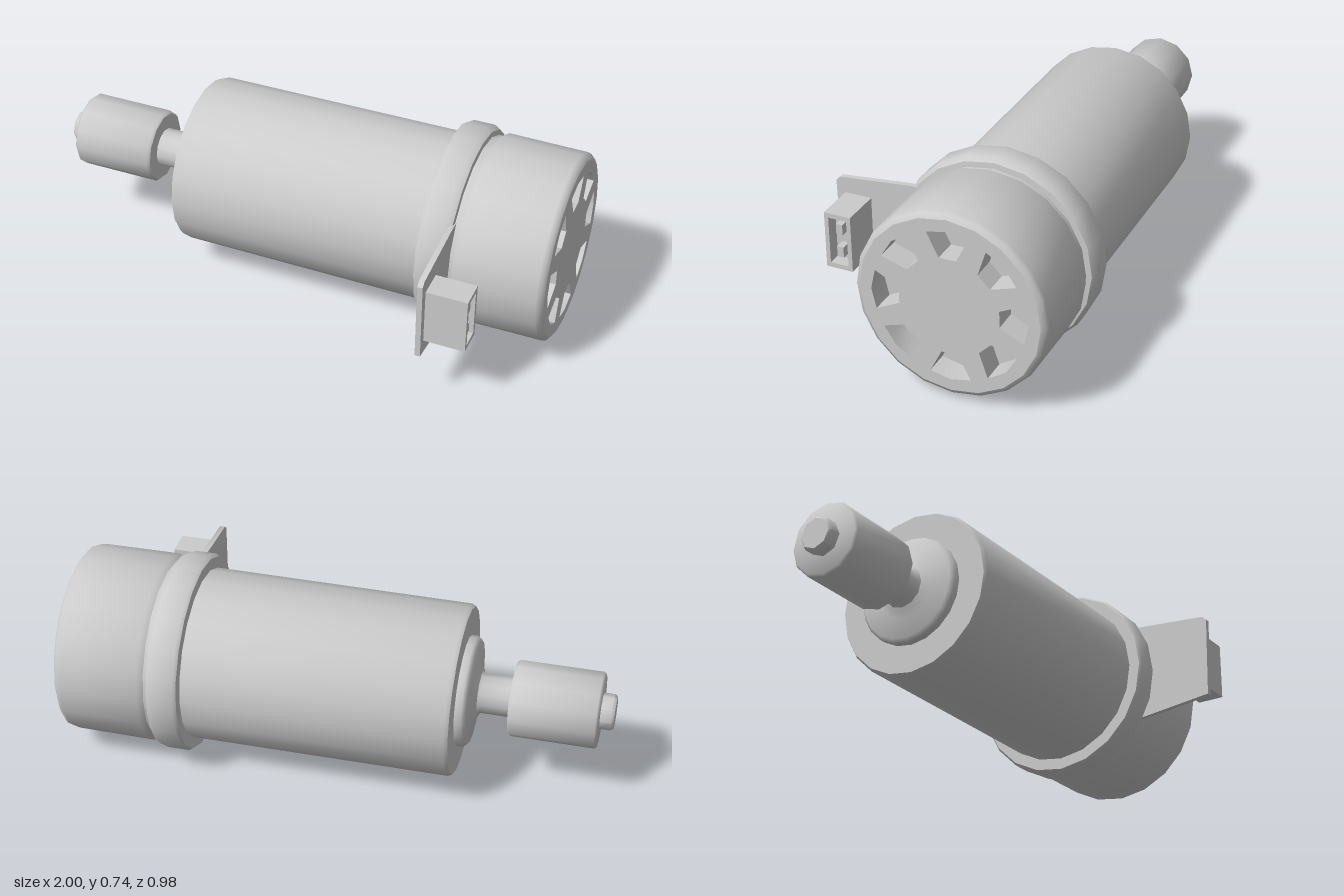
import * as THREE from 'three';
import { toCreasedNormals } from 'three/addons/utils/BufferGeometryUtils.js';

const AXIS_Y = 0.372, AXIS_Z = -0.122;
const material = new THREE.MeshStandardMaterial({ color: 0xcccccc });

function part(name, geometry, crease = 0.7) {
  const mesh = new THREE.Mesh(toCreasedNormals(geometry, crease), material);
  mesh.name = name;
  return mesh;
}

// Turned part along x; profile is [x, radius] from low x to high x
function turned(name, profile, sides = 20) {
  const points = profile.map(([x, r]) => new THREE.Vector2(r, x));
  const geometry = new THREE.LatheGeometry(points, sides).rotateZ(-Math.PI / 2);
  return part(name, geometry, 0.9);
}

// Outline in (-z, y) pushed out along +x from x0 to x1
function plate(name, shape, x0, x1) {
  const geometry = new THREE.ExtrudeGeometry(shape, { depth: x1 - x0, bevelEnabled: false });
  return part(name, geometry.rotateY(Math.PI / 2).translate(x0, 0, 0));
}

const polygon = (Type, pts) => new Type(pts.map(([a, b]) => new THREE.Vector2(a, b)));

function rect(Type, z, y, w, h) {
  return polygon(Type, [[-z - w / 2, y - h / 2], [-z + w / 2, y - h / 2], [-z + w / 2, y + h / 2], [-z - w / 2, y + h / 2]]);
}

export function createModel() {
  const model = new THREE.Group();
  model.name = 'electricMotor';

  // Everything on the shaft axis
  const core = new THREE.Group();
  core.name = 'motorCore';
  core.position.set(0, AXIS_Y, AXIS_Z);
  model.add(core);

  core.add(turned('body', [[-0.45, 0], [-0.45, 0.308], [-0.435, 0.316], [0.54, 0.319], [0.54, 0]]));
  core.add(turned('flange', [
    [0.528, 0.3], [0.528, 0.362], [0.54, 0.37], [0.62, 0.37], [0.642, 0.358], [0.645, 0.33], [0.645, 0],
  ]));
  core.add(turned('neck', [[0.63, 0.338], [0.675, 0.338]]));

  // Front boss, shaft and pinion
  core.add(turned('boss', [
    [-0.51, 0], [-0.51, 0.09], [-0.49, 0.115], [-0.49, 0.19], [-0.475, 0.203], [-0.445, 0.203], [-0.445, 0],
  ]));
  core.add(turned('shaft', [[-0.64, 0.073], [-0.52, 0.073], [-0.5, 0.09]], 12));
  core.add(turned('pinion', [
    [-0.95, 0], [-0.95, 0.132], [-0.942, 0.14], [-0.64, 0.14], [-0.63, 0.132], [-0.63, 0],
  ], 12));
  core.add(turned('shaftTip', [[-1, 0], [-1, 0.058], [-0.99, 0.066], [-0.94, 0.066]], 8));

  // Rear cap: outer wall, recess floor and pierced end plate
  core.add(turned('capWall', [
    [0.655, 0], [0.655, 0.335], [0.68, 0.352], [0.975, 0.35], [0.99, 0.346], [1, 0.33],
  ]));
  core.add(turned('capFloor', [[0.91, 0.31], [0.91, 0]]));
  const ring = [];
  for (let i = 0; i < 20; i++) {
    const a = (i / 20) * Math.PI * 2;
    ring.push([0.33 * Math.cos(a), 0.33 * Math.sin(a)]);
  }
  const endShape = polygon(THREE.Shape, ring);
  const vent = [[0.183, -0.031], [0.183, 0.031], [0.27, 0.075], [0.287, 0], [0.27, -0.075]];
  for (let i = 0; i < 8; i++) {
    const c = Math.cos(i * Math.PI / 4), s = Math.sin(i * Math.PI / 4);
    endShape.holes.push(polygon(THREE.Path, vent.map(([u, v]) => [u * c - v * s, u * s + v * c])));
  }
  core.add(plate('ventedEndPlate', endShape, 0.91, 1));

  // Side terminal bracket
  const bracketShape = polygon(THREE.Shape, [
    [-0.48, 0.22], [-0.19, 0.188], [0, 0.2], [0, 0.56], [-0.19, 0.573], [-0.47, 0.546], [-0.487, 0.53],
  ]);
  model.add(plate('terminalBracket', bracketShape, 0.628, 0.648));

  // Hollow connector socket with a pin inside
  const socket = new THREE.Group();
  socket.name = 'connector';
  const wall = rect(THREE.Shape, 0.402, 0.38, 0.102, 0.216);
  wall.holes.push(rect(THREE.Path, 0.402, 0.38, 0.07, 0.18));
  socket.add(plate('connectorWall', wall, 0.64, 0.8));
  socket.add(plate('connectorFloor', rect(THREE.Shape, 0.402, 0.38, 0.08, 0.19), 0.64, 0.75));
  for (const y of [0.335, 0.425]) {
    socket.add(plate('connectorPin', rect(THREE.Shape, 0.402, y, 0.025, 0.04), 0.74, 0.79));
  }
  model.add(socket);

  return model;
}
